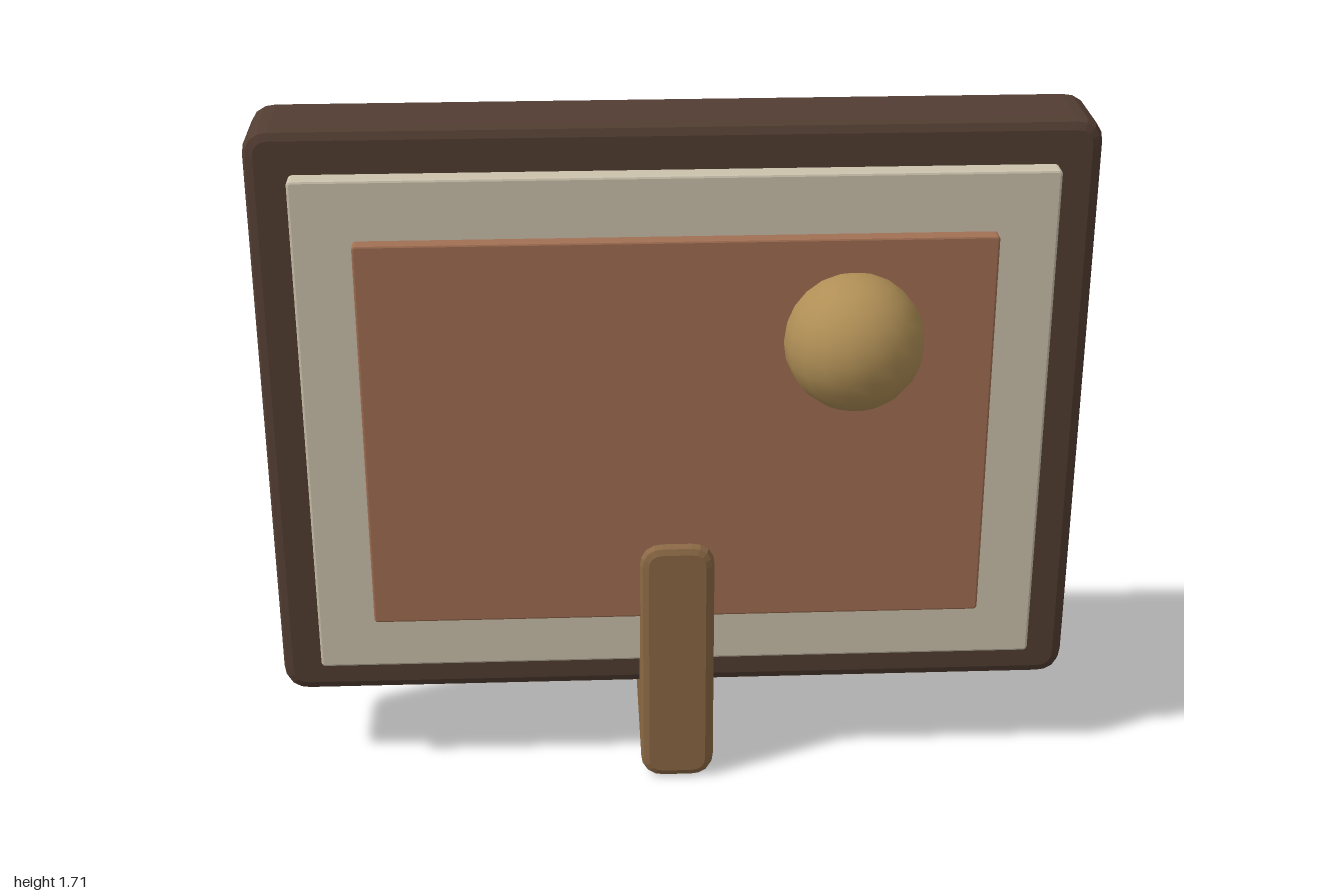
import * as THREE from 'three';

const material = (color) => new THREE.MeshStandardMaterial({ color });

// Upright slab with rounded corners and chamfered front and back edges; sizes are overall.
function slab(name, color, { w, y0, y1, z0, z1, radius, bevel }) {
  const x = w / 2 - bevel, b = y0 + bevel, t = y1 - bevel;
  const r = radius - bevel;
  const s = new THREE.Shape();
  s.moveTo(-x + r, b);
  s.lineTo(x - r, b);
  s.quadraticCurveTo(x, b, x, b + r);
  s.lineTo(x, t - r);
  s.quadraticCurveTo(x, t, x - r, t);
  s.lineTo(-x + r, t);
  s.quadraticCurveTo(-x, t, -x, t - r);
  s.lineTo(-x, b + r);
  s.quadraticCurveTo(-x, b, -x + r, b);
  const geometry = new THREE.ExtrudeGeometry(s, {
    depth: z1 - z0 - 2 * bevel,
    bevelEnabled: true,
    bevelThickness: bevel,
    bevelSize: bevel,
    bevelSegments: 2,
    curveSegments: 4,
  });
  geometry.translate(0, 0, z0 + bevel);
  const mesh = new THREE.Mesh(geometry, material(color));
  mesh.name = name;
  return mesh;
}

export function createModel() {
  const model = new THREE.Group();
  model.name = 'framedPanelOnStand';

  // Layered panel: dark frame, pale mat, inner picture
  model.add(
    slab('frame', 0x523d32, { w: 2, y0: 0.213, y1: 1.71, z0: 0.033, z1: 0.26, radius: 0.065, bevel: 0.026 }),
    slab('mat', 0xcdc3ad, { w: 1.79, y0: 0.32, y1: 1.607, z0: 0.267, z1: 0.32, radius: 0.012, bevel: 0.006 }),
    slab('picture', 0xa27053, { w: 1.504, y0: 0.464, y1: 1.46, z0: 0.315, z1: 0.354, radius: 0.01, bevel: 0.005 }),
  );

  // Foot running front to back through the frame
  model.add(slab('stand', 0x8b6945, { w: 0.184, y0: 0, y1: 0.668, z0: -0.543, z1: 0.376, radius: 0.058, bevel: 0.021 }));

  // Round knob set into the picture
  const knob = new THREE.Mesh(new THREE.SphereGeometry(0.166, 18, 12), material(0xb08f56));
  knob.name = 'knob';
  knob.position.set(0.415, 1.212, 0.377);
  model.add(knob);

  return model;
}
